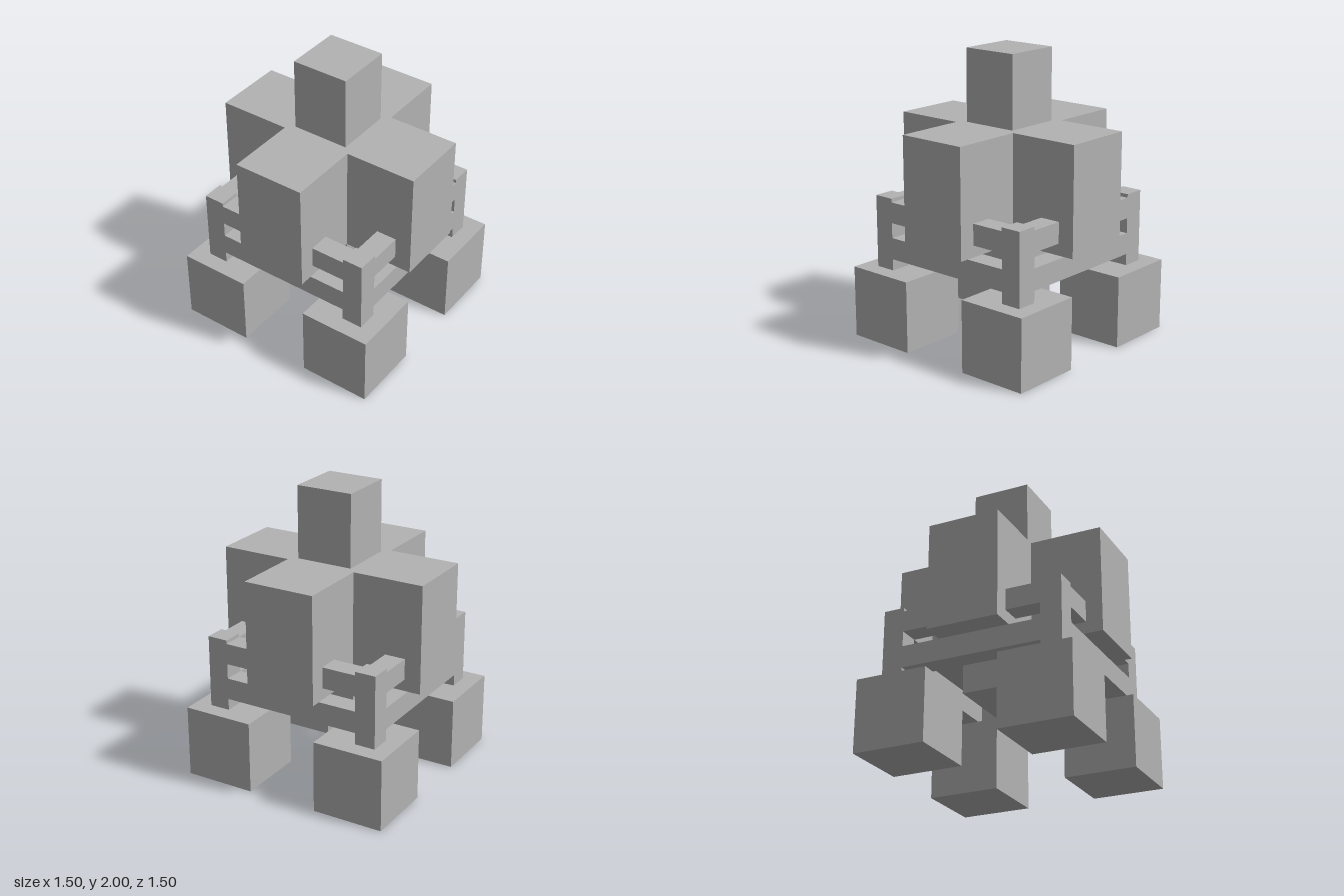
import * as THREE from 'three';

export function createModel() {
  const model = new THREE.Group();
  const grey = new THREE.MeshStandardMaterial({ color: 0xb2b2b2 });
  grey.name = 'grey';

  // Box given by its minimum and maximum corners
  function block(name, parent, [x0, y0, z0], [x1, y1, z1]) {
    const mesh = new THREE.Mesh(new THREE.BoxGeometry(x1 - x0, y1 - y0, z1 - z0), grey);
    mesh.position.set((x0 + x1) / 2, (y0 + y1) / 2, (z0 + z1) / 2);
    mesh.name = name;
    parent.add(mesh);
  }

  const IN = 0.49, OUT = 0.635; // inner and outer faces of the frame

  // Central core and tower
  block('core', model, [-0.25, 0.5, -0.25], [0.25, 1.5, 0.25]);
  block('tower', model, [-0.2, 1.5, -0.2], [0.2, 2, 0.2]);

  // Four identical quarters around the vertical axis
  for (let i = 0; i < 4; i++) {
    const quarter = new THREE.Group();
    quarter.name = 'quarter' + (i + 1);
    quarter.rotation.y = (i * Math.PI) / 2;

    // Wing of the cross-shaped body
    block('wing', quarter, [-0.25, 0.755, 0.25], [0.25, 1.5, 0.75]);
    // Corner foot and post
    block('foot', quarter, [0.25, 0, 0.25], [0.75, 0.5, 0.75]);
    block('post', quarter, [IN, 0.5, IN], [OUT, 1.005, OUT]);
    // Long lower rail between two posts
    block('lowerRail', quarter, [-IN, 0.58, IN], [IN, 0.73, OUT]);
    // Short upper rails from the wing to its posts
    block('upperRailLeft', quarter, [0.25, 0.835, IN], [IN, 0.98, OUT]);
    block('upperRailRight', quarter, [-IN, 0.835, IN], [-0.25, 0.98, OUT]);
    model.add(quarter);
  }
  return model;
}
